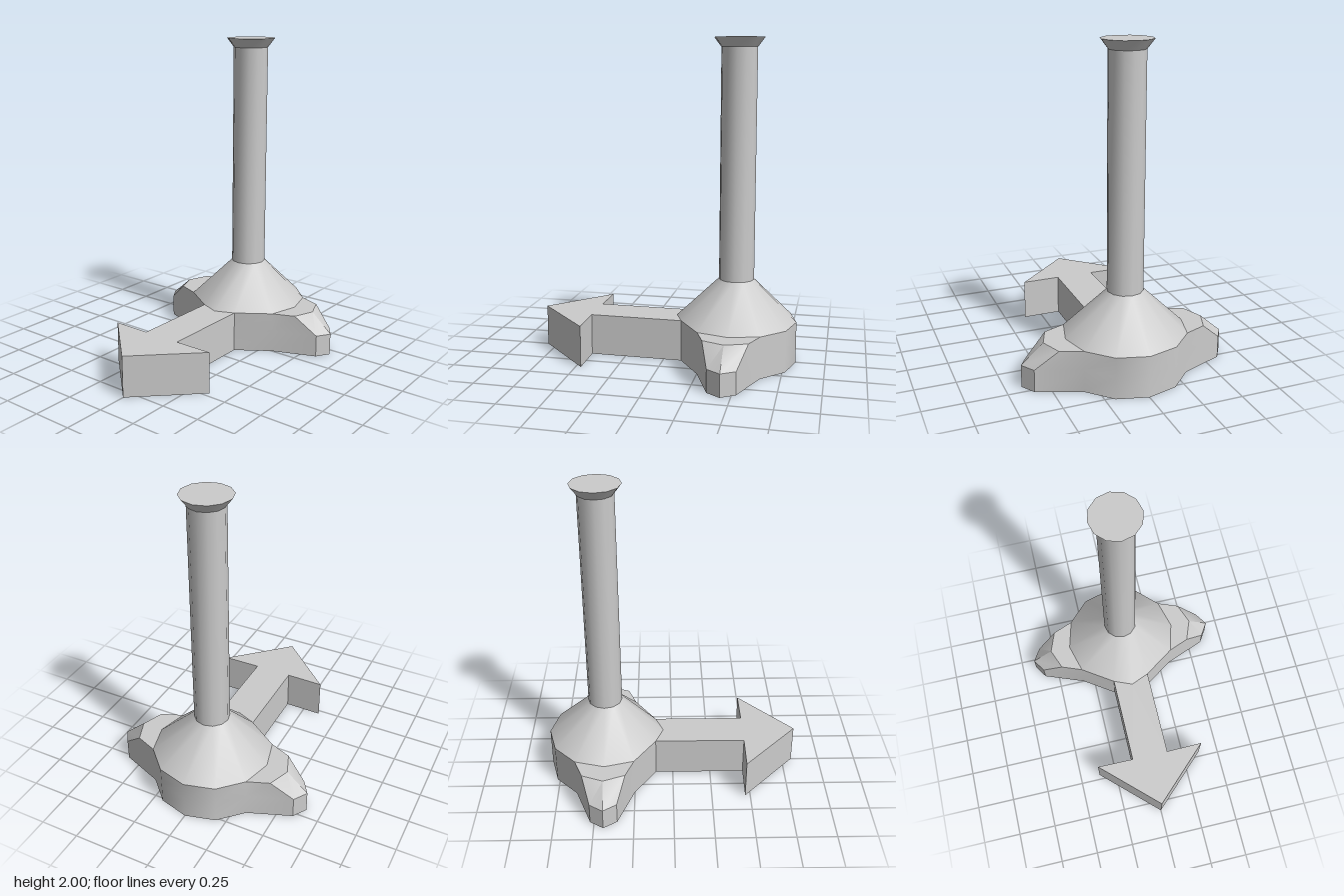
import * as THREE from 'three';
import { toCreasedNormals } from 'three/addons/utils/BufferGeometryUtils.js';

const CZ = -0.44; // z of the column axis
const material = new THREE.MeshStandardMaterial({ color: 0xcccccc });

// Twelve-sided ring of [x, z] points, running from the front towards +x
function ring(radius) {
  return Array.from({ length: 12 }, (_, i) => {
    const a = (i * Math.PI) / 6;
    return [radius * Math.sin(a), CZ + radius * Math.cos(a)];
  });
}

// Skin between outlines at rising heights, with optional flat caps
function loft(name, levels, capBottom, capTop) {
  const n = levels[0].points.length;
  const positions = levels.flatMap(({ y, points }) => points.flatMap(([x, z]) => [x, y, z]));
  const index = [];
  for (let l = 0; l < levels.length - 1; l++) {
    for (let i = 0; i < n; i++) {
      const a = l * n + i, b = l * n + ((i + 1) % n);
      index.push(a, b, b + n, a, b + n, a + n);
    }
  }
  const cap = (level, flip) => {
    const flat = levels[level].points.map(([x, z]) => new THREE.Vector2(x, -z));
    for (const [a, b, c] of THREE.ShapeUtils.triangulateShape(flat, [])) {
      index.push(...(flip ? [a, c, b] : [a, b, c]).map((v) => v + level * n));
    }
  };
  if (capBottom) cap(0, true);
  if (capTop) cap(levels.length - 1, false);

  const geometry = new THREE.BufferGeometry();
  geometry.setAttribute('position', new THREE.Float32BufferAttribute(positions, 3));
  geometry.setIndex(index);
  const mesh = new THREE.Mesh(toCreasedNormals(geometry, 0.6), material);
  mesh.name = name;
  return mesh;
}

// Round hub whose front narrows to the width of the arrow shaft
function hubOutline() {
  const points = ring(0.378);
  points[1][0] = 0.123;
  points[11][0] = -0.123;
  return points;
}

// Hub outline with a three-point lobe on each side, tips at x = +-tip
function baseOutline(tip, shoulder, halfDepth) {
  const hub = hubOutline();
  const lobe = (s) => [
    [s * shoulder, CZ + s * halfDepth],
    [s * tip, CZ],
    [s * shoulder, CZ - s * halfDepth],
  ];
  return [...hub.slice(0, 3), ...lobe(1), ...hub.slice(4, 9), ...lobe(-1), ...hub.slice(10)];
}

export function createModel() {
  const model = new THREE.Group();
  model.name = 'arrowStand';

  // Base with side lobes, bevelled towards their tips
  const wide = baseOutline(0.653, 0.598, 0.085);
  model.add(loft('base', [
    { y: 0, points: wide },
    { y: 0.14, points: wide },
    { y: 0.26, points: baseOutline(0.515, 0.463, 0.136) },
  ], true, true));

  // Arrow pointing forward, its root following the front of the hub
  const right = [[0.123, -0.113], [0.123, 0.47], [0.367, 0.467]];
  const left = right.map(([x, z]) => [-x, z]).reverse();
  const arrow = [[0, 0.815], ...right.slice().reverse(), [0, -0.062], ...left.slice().reverse()];
  model.add(loft('arrow', [{ y: 0, points: arrow }, { y: 0.26, points: arrow }], true, true));

  // Sloping skirt from the hub up to the column
  model.add(loft('skirt', [
    { y: 0.26, points: hubOutline() },
    { y: 0.52, points: ring(0.11) },
  ], false, false));

  // Column and its flared cap
  model.add(loft('column', [
    { y: 0.52, points: ring(0.11) },
    { y: 1.942, points: ring(0.11) },
  ], false, false));
  model.add(loft('flaredCap', [
    { y: 1.942, points: ring(0.11) },
    { y: 2, points: ring(0.154) },
  ], false, true));

  return model;
}
